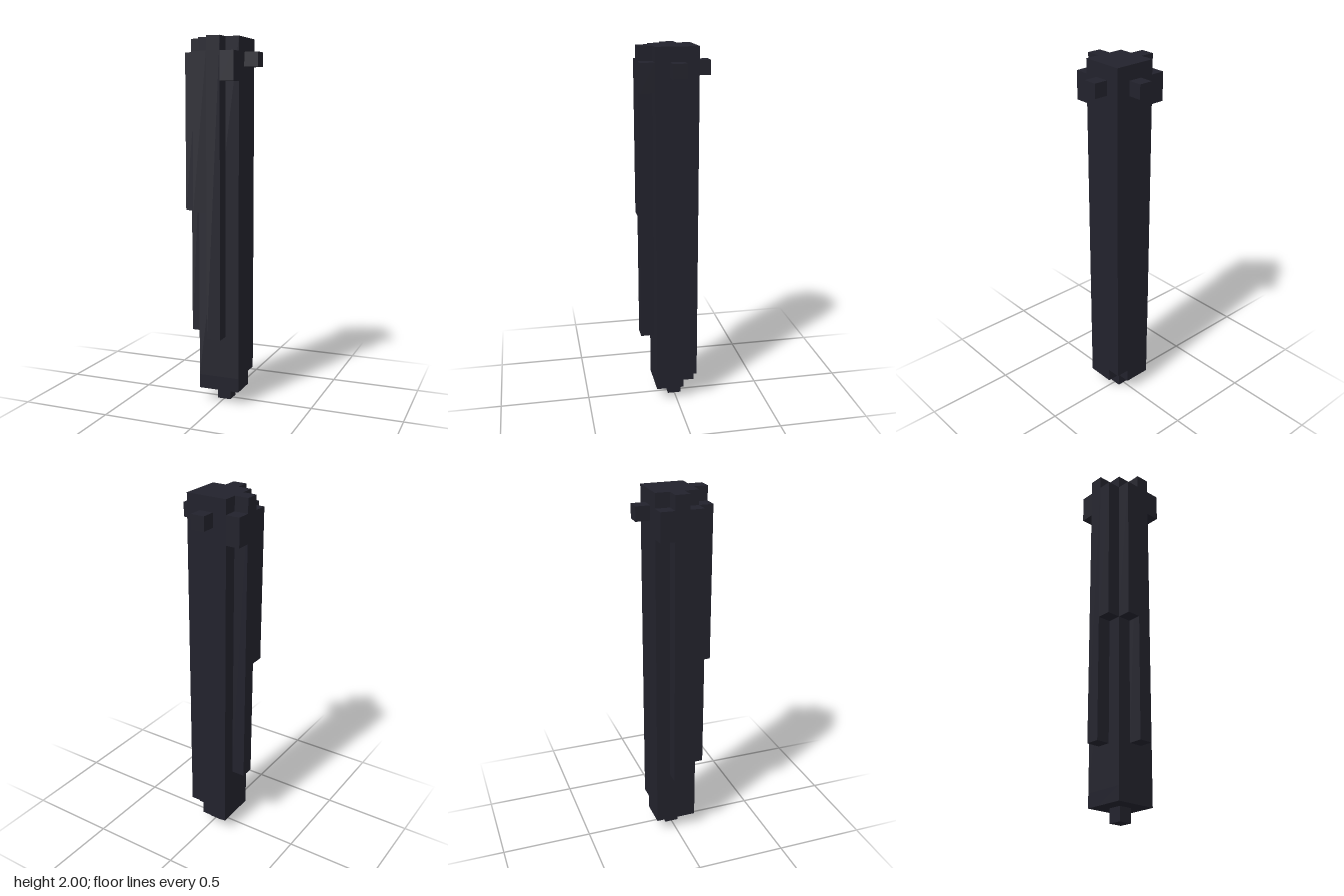
import * as THREE from 'three';

// One block of the grid; the model is 26 blocks tall
const U = 2 / 26;

export function createModel() {
  const group = new THREE.Group();
  const charcoal = new THREE.MeshStandardMaterial({ color: 0x22222c });
  charcoal.name = 'charcoal';

  // Box from block bounds: x0..x1, y0..y1, z0..z1
  function block(name, x0, x1, y0, y1, z0, z1) {
    const geo = new THREE.BoxGeometry((x1 - x0) * U, (y1 - y0) * U, (z1 - z0) * U);
    const mesh = new THREE.Mesh(geo, charcoal);
    mesh.position.set((x0 + x1) / 2 * U, (y0 + y1) / 2 * U, (z0 + z1) / 2 * U);
    mesh.name = name;
    group.add(mesh);
  }

  // Main square shaft, above a bottom layer with one back corner missing
  block('shaft', -1.5, 1.5, 2, 26, -1.5, 1.5);
  block('shaftFootFront', -1.5, 1.5, 1, 2, -0.5, 1.5);
  block('shaftFootBack', -1.5, 0.5, 1, 2, -1.5, -0.5);
  block('tip', -0.5, 0.5, 0, 1, -0.5, 0.5);

  // Ridges on two neighbouring faces, mirrored across the diagonal
  const ridges = [
    ['outerRidge', 1, 23, 25],
    ['middleRidge', 0, 5, 26],
    ['innerRidge', -1, 14, 25],
  ];
  for (const [name, c, y0, y1] of ridges) {
    block(name + 'Front', c - 0.5, c + 0.5, y0, y1, 1.5, 2.5);
    block(name + 'Side', -2.5, -1.5, y0, y1, -c - 0.5, -c + 0.5);
  }

  // Small pegs near the top on the other two faces
  block('pegSide', 1.5, 2.5, 24, 25, -0.5, 0.5);
  block('pegBack', -0.5, 0.5, 24, 25, -2.5, -1.5);

  return group;
}
